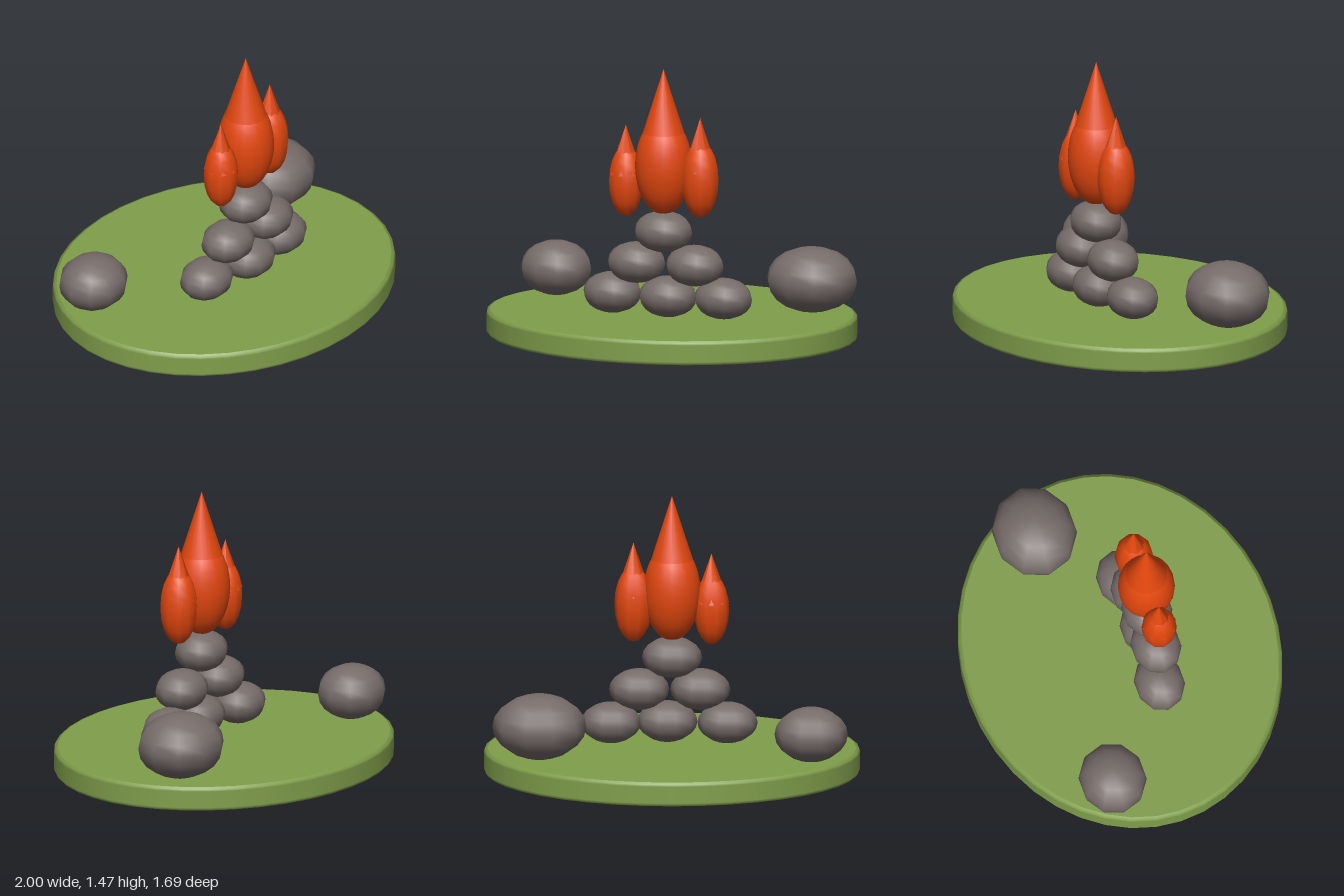
import * as THREE from 'three';

const material = (name, color) => {
  const m = new THREE.MeshStandardMaterial({ color });
  m.name = name;
  return m;
};

export function createModel() {
  const grass = material('grass green', 0x809e4b);
  const stone = material('stone grey', 0x766c6a);
  const fire = material('fire orange', 0xe2470e);
  const model = new THREE.Group();

  const add = (parent, name, geometry, mat, position, scale = [1, 1, 1], turn = 0) => {
    const mesh = new THREE.Mesh(geometry, mat);
    mesh.name = name;
    mesh.position.set(...position);
    mesh.scale.set(...scale);
    mesh.rotation.y = turn;
    parent.add(mesh);
  };

  // Oval ground slab with a small rounded rim
  const slab = new THREE.Shape();
  slab.absellipse(0, 0, 0.98, 0.827, 0, Math.PI * 2);
  const slabGeometry = new THREE.ExtrudeGeometry(slab, {
    depth: 0.09, bevelThickness: 0.02, bevelSize: 0.02, bevelSegments: 3, curveSegments: 20,
  });
  slabGeometry.rotateX(-Math.PI / 2).translate(0, 0.02, 0);
  // Smooth the side wall while leaving the flat faces alone
  const p = slabGeometry.attributes.position, n = slabGeometry.attributes.normal;
  const v = new THREE.Vector3();
  for (let i = 0; i < p.count; i++) {
    if (Math.abs(n.getY(i)) > 0.99) continue;
    v.set(p.getX(i), 0, p.getZ(i) / 0.714).normalize();
    const y = p.getY(i);
    v.y = y > 0.111 ? (y - 0.11) / 0.02 : y < 0.019 ? (y - 0.02) / 0.02 : 0;
    v.normalize();
    n.setXYZ(i, v.x, v.y, v.z);
  }
  add(model, 'ground', slabGeometry, grass, [0, 0, 0]);

  // Coarse smooth ball shared by stones and flames
  const ball = new THREE.SphereGeometry(1, 10, 10);

  // Two boulders
  add(model, 'leftBoulder', ball, stone, [0.705, 0.3, -0.24], [0.25, 0.175, 0.225]);
  add(model, 'rightBoulder', ball, stone, [-0.74, 0.27, -0.295], [0.195, 0.147, 0.18]);

  // Stacked pyramid of six stones
  const pile = new THREE.Group();
  pile.name = 'stonePile';
  model.add(pile);
  [
    [-0.295, 0.24, 0.12], [0.025, 0.24, 0.15], [0.325, 0.24, 0.12],
    [-0.15, 0.415, 0.15], [0.175, 0.415, 0.15],
    [0, 0.59, 0.15],
  ].forEach((at, i) => add(pile, `stone${i + 1}`, ball, stone, at, [0.16, 0.11, 0.134]));

  // Flames: an egg-shaped body topped by a pointed cone
  const flameBody = new THREE.SphereGeometry(1, 20, 14);
  const flame = (name, x, width, height, y, coneRadius, coneBase, tip, sides) => {
    const group = new THREE.Group();
    group.name = name;
    group.position.set(x, 0, 0.148);
    model.add(group);
    add(group, 'body', sides > 10 ? flameBody : ball, fire, [0, y, 0], [width, height, width]);
    add(group, 'point', new THREE.ConeGeometry(coneRadius, tip - coneBase, sides), fire,
      [0, (tip + coneBase) / 2, 0]);
  };
  flame('middleFlame', 0, 0.152, 0.263, 0.945, 0.112, 1.12, 1.47, 20);
  flame('rightFlame', -0.21, 0.094, 0.19, 0.85, 0.093, 0.89, 1.155, 8);
  flame('leftFlame', 0.205, 0.102, 0.205, 0.88, 0.096, 0.93, 1.215, 8);

  return model;
}
